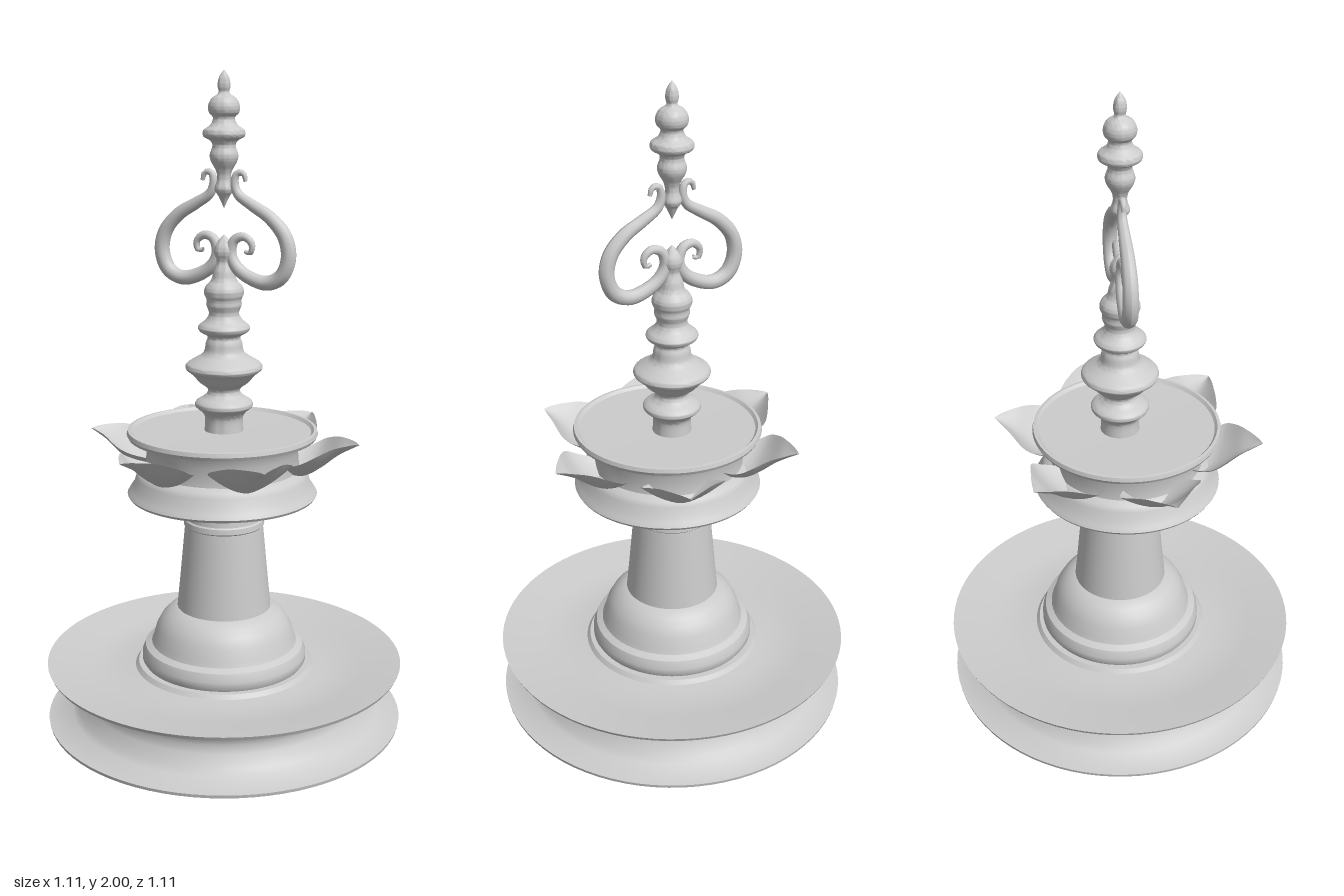
import * as THREE from 'three';
import { toCreasedNormals } from 'three/addons/utils/BufferGeometryUtils.js';

const material = new THREE.MeshStandardMaterial({ color: 0xcccccc, side: THREE.DoubleSide });
const CUP_Z = 0.022; // the cup sits slightly forward of the axis

const mesh = (name, geometry) => {
  const m = new THREE.Mesh(geometry, material);
  m.name = name;
  return m;
};

// Turned part from [radius, height] pairs listed bottom to top; smooth rounds the profile
function turned(name, pairs, smooth = false, sides = 64) {
  let points = pairs.map(([r, y]) => new THREE.Vector2(r, y));
  if (smooth) {
    points = new THREE.SplineCurve(points).getPoints(pairs.length * 4);
    points.forEach(p => { p.x = Math.max(p.x, 0); });
  }
  return mesh(name, toCreasedNormals(new THREE.LatheGeometry(points, sides), 0.7));
}

// Grid surface from a function of u, v in 0..1
function surface(nu, nv, fn) {
  const pos = [], index = [];
  for (let i = 0; i <= nu; i++) {
    for (let j = 0; j <= nv; j++) pos.push(...fn(i / nu, j / nv));
  }
  for (let i = 0; i < nu; i++) {
    for (let j = 0; j < nv; j++) {
      const a = i * (nv + 1) + j, b = a + nv + 1;
      index.push(a, a + 1, b, b, a + 1, b + 1);
    }
  }
  const g = new THREE.BufferGeometry();
  g.setAttribute('position', new THREE.Float32BufferAttribute(pos, 3));
  g.setIndex(index);
  g.computeVertexNormals();
  return g;
}

// Pointed, cupped petal reaching out along +x
function petalGeometry() {
  const keel = new THREE.SplineCurve([[0.2, 0.805], [0.26, 0.815], [0.31, 0.845], [0.36, 0.885], [0.42, 0.918]]
    .map(p => new THREE.Vector2(...p)));
  const width = new THREE.SplineCurve([[0, 0.08], [0.25, 0.112], [0.5, 0.125], [0.72, 0.098], [0.88, 0.055], [1, 0]]
    .map(p => new THREE.Vector2(...p)));
  return surface(20, 14, (u, v) => {
    const s = v * 2 - 1;
    const k = keel.getPoint(u);
    const w = Math.max(width.getPoint(u).y, 0);
    const lift = 0.065 * Math.sin(Math.PI * Math.min(u * 0.75 + 0.25, 1)) * Math.pow(Math.abs(s), 1.6);
    return [k.x, k.y + lift, s * w];
  });
}

// Round tube along points in the xy plane, thin at both curled ends
function scrollGeometry(points) {
  const curve = new THREE.CatmullRomCurve3(points.map(([x, y]) => new THREE.Vector3(x, y, 0)));
  return surface(80, 10, (u, v) => {
    const p = curve.getPointAt(u), t = curve.getTangentAt(u);
    const r = 0.006 + 0.017 * Math.pow(Math.sin(Math.PI * u), 0.8);
    const a = v * Math.PI * 2, c = Math.cos(a) * r;
    return [p.x - t.y * c, p.y + t.x * c, Math.sin(a) * r];
  });
}

export function createModel() {
  const model = new THREE.Group();
  model.name = 'tieredLamp';

  // Hollow spool base with a shallow dish on top
  model.add(turned('base', [
    [0.47, 0.0], [0.555, 0.005], [0.557, 0.015], [0.48, 0.028], [0.465, 0.045], [0.44, 0.08], [0.433, 0.105],
    [0.44, 0.13], [0.465, 0.16], [0.49, 0.174], [0.552, 0.183], [0.557, 0.194], [0.5, 0.186], [0.43, 0.175],
    [0.38, 0.168], [0.32, 0.168], [0.28, 0.172], [0.27, 0.185], [0.24, 0.185],
  ], false, 80));

  // Bell foot and tapered column
  model.add(turned('bellFoot', [
    [0.245, 0.175], [0.258, 0.195], [0.258, 0.215], [0.248, 0.24], [0.228, 0.25], [0.222, 0.265], [0.212, 0.3],
    [0.195, 0.33], [0.175, 0.35], [0.148, 0.367], [0, 0.367],
  ]));
  model.add(turned('column', [
    [0.147, 0.36], [0.138, 0.45], [0.124, 0.6], [0.121, 0.632], [0.125, 0.636], [0.123, 0.652], [0.118, 0.656],
    [0.109, 0.74],
  ]));

  // Pan, cup wall and rimmed top plate
  const cup = new THREE.Group();
  cup.name = 'cup';
  cup.position.z = CUP_Z;
  cup.add(turned('pan', [
    [0, 0.737], [0.285, 0.737], [0.29, 0.745], [0.283, 0.757], [0.27, 0.775], [0.263, 0.8], [0.255, 0.815],
    [0.235, 0.825], [0.23, 0.88], [0.25, 0.92],
  ]));
  cup.add(turned('topPlate', [
    [0.23, 0.9], [0.25, 0.918], [0.285, 0.922], [0.29, 0.932], [0.287, 0.944], [0.278, 0.945], [0.27, 0.936], [0, 0.934],
  ]));

  // Ring of six petals
  const petal = petalGeometry();
  for (let i = 0; i < 6; i++) {
    const p = mesh('petal', petal);
    p.rotation.y = i * Math.PI / 3;
    cup.add(p);
  }
  model.add(cup);

  // Turned stem below the scrolls
  model.add(turned('stem', [
    [0.06, 0.93], [0.058, 0.975], [0.07, 0.995], [0.087, 1.01], [0.084, 1.025], [0.055, 1.045], [0.05, 1.065],
    [0.075, 1.085], [0.095, 1.108], [0.115, 1.125], [0.113, 1.14], [0.09, 1.155], [0.062, 1.175], [0.055, 1.205],
    [0.05, 1.225], [0.073, 1.24], [0.077, 1.255], [0.055, 1.275], [0.045, 1.295], [0.053, 1.32], [0.052, 1.335],
    [0.06, 1.355], [0.055, 1.375], [0.038, 1.395], [0.032, 1.42], [0.022, 1.45], [0.03, 1.475], [0.024, 1.5], [0, 1.53],
  ], true, 40));

  // Mirrored pair of scrolls, turned a little about the axis
  const scrolls = new THREE.Group();
  scrolls.name = 'scrolls';
  scrolls.rotation.y = -0.21;
  const scroll = scrollGeometry([
    [0.07, 1.685], [0.062, 1.708], [0.042, 1.708], [0.034, 1.68], [0.045, 1.648], [0.09, 1.618], [0.15, 1.582],
    [0.195, 1.53], [0.207, 1.47], [0.185, 1.415], [0.14, 1.393], [0.085, 1.405], [0.04, 1.435], [0.022, 1.475],
    [0.035, 1.515], [0.065, 1.525], [0.09, 1.505], [0.085, 1.478], [0.068, 1.482],
  ]);
  for (const turn of [0, Math.PI]) {
    const s = mesh('scroll', scroll);
    s.rotation.y = turn;
    scrolls.add(s);
  }
  model.add(scrolls);

  // Turned finial above the scrolls
  model.add(turned('finial', [
    [0, 1.605], [0.016, 1.64], [0.028, 1.66], [0.02, 1.69], [0.024, 1.715], [0.038, 1.74], [0.042, 1.76],
    [0.034, 1.785], [0.04, 1.8], [0.06, 1.812], [0.06, 1.83], [0.04, 1.845], [0.032, 1.865], [0.044, 1.88],
    [0.046, 1.9], [0.036, 1.92], [0.016, 1.935], [0.019, 1.955], [0.014, 1.98], [0, 2],
  ], true, 40));

  return model;
}
